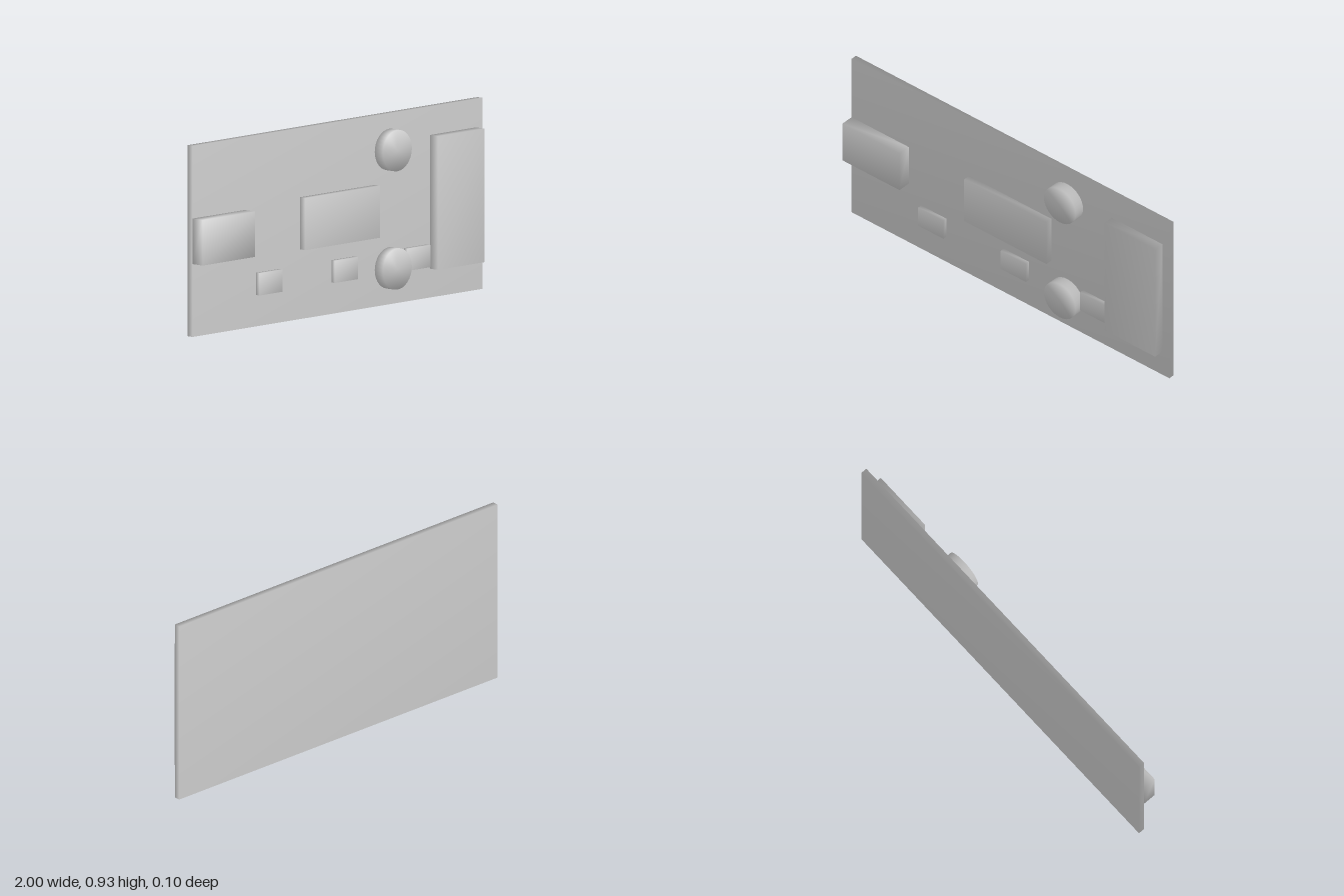
import * as THREE from 'three';
import { mergeVertices } from 'three/addons/utils/BufferGeometryUtils.js';

const material = new THREE.MeshStandardMaterial({ color: 0xcccccc });
const BACK = -0.05, FACE = -0.018;

// Weld corners so the normals run smoothly round every edge
function smooth(geometry) {
  geometry.deleteAttribute('uv');
  geometry.deleteAttribute('normal');
  const welded = mergeVertices(geometry, 1e-4);
  welded.computeVertexNormals();
  return welded;
}

export function createModel() {
  const model = new THREE.Group();

  function add(name, geometry, x, y, z) {
    const mesh = new THREE.Mesh(smooth(geometry), material);
    mesh.name = name;
    mesh.position.set(x, y, z);
    model.add(mesh);
  }

  // Block given by its extents
  function block(name, x0, x1, y0, y1, z0, z1) {
    add(name, new THREE.BoxGeometry(x1 - x0, y1 - y0, z1 - z0),
      (x0 + x1) / 2, (y0 + y1) / 2, (z0 + z1) / 2);
  }

  // Flat board
  block('board', -1, 1, 0, 0.925, BACK, FACE);

  // Large components on the front face
  block('connector', -1, -0.64, 0.353, 0.573, FACE, 0.05);
  block('mainChip', -0.26, 0.257, 0.338, 0.59, FACE, 0.018);
  block('sideModule', 0.637, 0.957, 0.14, 0.787, FACE, 0.036);

  // Row of small components
  for (const x of [-0.562, -0.042, 0.458])
    block('smallChip', x, x + 0.159, 0.152, 0.26, FACE, 0.005);

  // Two round components
  for (const y of [0.75, 0.177]) {
    const disc = new THREE.CylinderGeometry(0.1, 0.1, 0.036 - FACE, 32).rotateX(Math.PI / 2);
    add('roundCapacitor', disc, 0.357, y, (0.036 + FACE) / 2);
  }

  return model;
}
